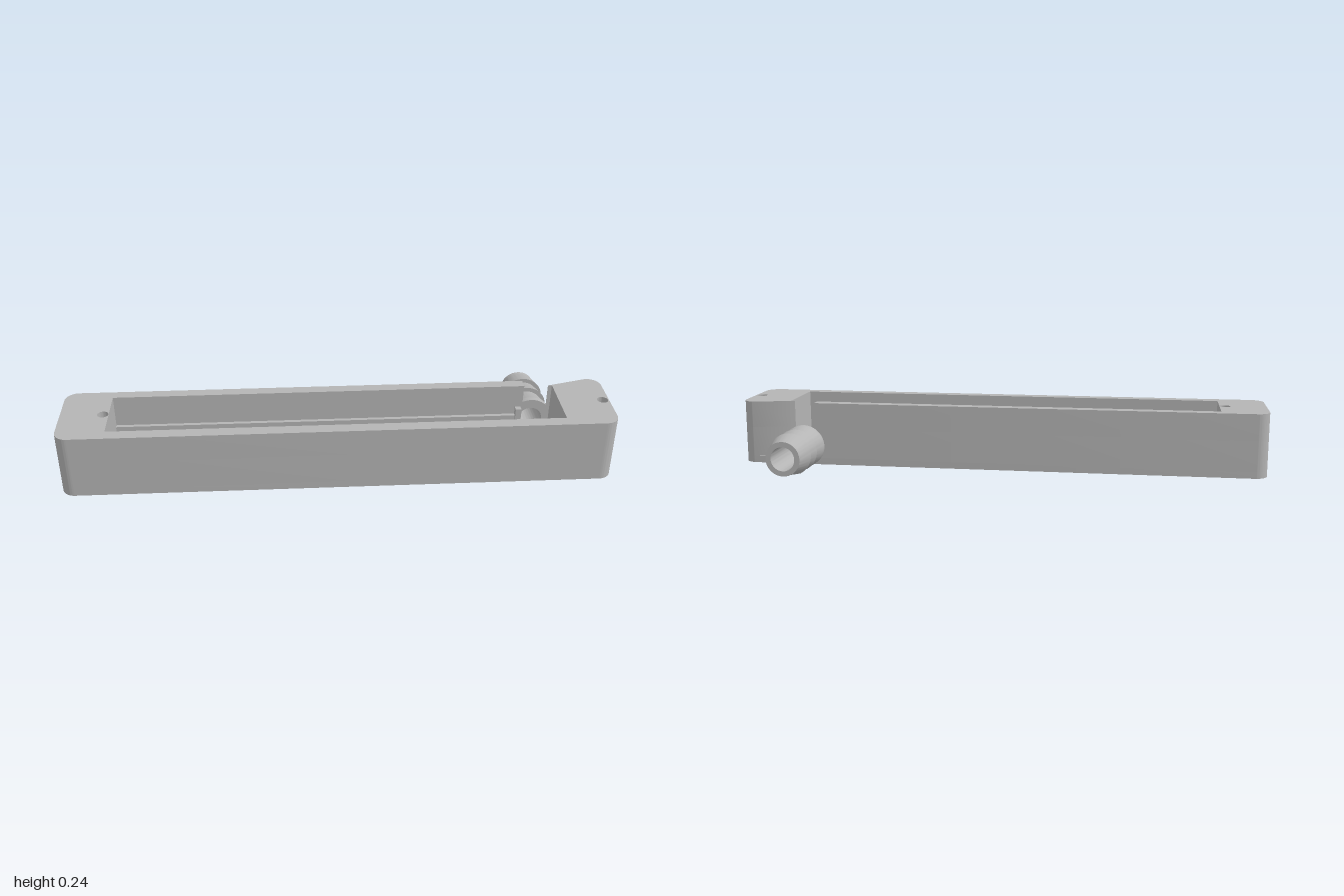
import * as THREE from 'three';
import { toCreasedNormals } from 'three/addons/utils/BufferGeometryUtils.js';

const BACK = -0.035, FRONT = 0.28, HEIGHT = 0.24, CORNER = 0.048; // outer block
const IN_L = -0.825, IN_R = 0.815, IN_B = 0.005, IN_F = 0.235, FLOOR = 0.025; // cavity
const PIPE_X = 0.755, PIPE_Y = 0.0725, BORE = 0.045; // hose fitting

// Extrude a plan drawn in (x, z) between two heights
function slab(shape, y0, y1) {
  const g = new THREE.ExtrudeGeometry(shape, { depth: y1 - y0, bevelEnabled: false, curveSegments: 12 });
  g.rotateX(Math.PI / 2).translate(0, y1, 0);
  return toCreasedNormals(g, 0.5);
}

// Rounded outline of the block, starting and ending on the back edge
function outline(startX, endX) {
  const s = new THREE.Shape(), r = CORNER, q = Math.PI / 2;
  s.moveTo(startX, BACK);
  s.absarc(1 - r, BACK + r, r, -q, 0, false);
  s.absarc(1 - r, FRONT - r, r, 0, q, false);
  s.absarc(-1 + r, FRONT - r, r, q, 2 * q, false);
  s.absarc(-1 + r, BACK + r, r, 2 * q, 3 * q, false);
  s.lineTo(endX, BACK);
  return s;
}

// Walls around the cavity, open at the pipe slot
function wallPlan() {
  const s = outline(PIPE_X + BORE, PIPE_X - BORE);
  s.lineTo(PIPE_X - BORE, IN_B);
  s.lineTo(IN_L, IN_B);
  s.lineTo(IN_L, IN_F);
  s.lineTo(IN_R, IN_F);
  s.lineTo(IN_R, IN_B);
  s.lineTo(PIPE_X + BORE, IN_B);
  s.closePath();
  return s;
}

export function createModel() {
  const group = new THREE.Group();
  const grey = new THREE.MeshStandardMaterial({ color: 0xb4b4b4 });
  grey.name = 'grey plastic';
  const add = (name, geometry) => {
    const mesh = new THREE.Mesh(geometry, grey);
    mesh.name = name;
    group.add(mesh);
    return mesh;
  };

  // Floor and walls, with blind screw holes in the upper walls
  add('floor', slab(outline(0, 0), 0, FLOOR));
  add('lowerWalls', slab(wallPlan(), FLOOR, 0.14));
  const upper = wallPlan();
  for (const x of [-0.846, 0.976]) {
    const hole = new THREE.Path();
    hole.absarc(x, 0.12, 0.02, 0, Math.PI * 2, true);
    upper.holes.push(hole);
  }
  add('upperWalls', slab(upper, 0.14, HEIGHT));

  // Round bottom of the pipe slot
  const cradle = new THREE.Shape();
  cradle.moveTo(-BORE, FLOOR - PIPE_Y);
  cradle.lineTo(BORE, FLOOR - PIPE_Y);
  cradle.lineTo(BORE, 0);
  cradle.absarc(0, 0, BORE, 0, -Math.PI, true);
  cradle.closePath();
  const cradleGeo = new THREE.ExtrudeGeometry(cradle, { depth: IN_B - BACK, bevelEnabled: false, curveSegments: 16 });
  cradleGeo.translate(PIPE_X, PIPE_Y, BACK);
  add('slotCradle', toCreasedNormals(cradleGeo, 0.5));

  // Side ledges inside the cavity, each ending in a stop post
  const ledgeEnd = 0.682, ledgeTop = 0.12, postTop = 0.15;
  for (const [side, wall, dir] of [['back', IN_B, 1], ['front', IN_F, -1]]) {
    const ledge = add(side + 'Ledge', new THREE.BoxGeometry(ledgeEnd - IN_L, ledgeTop - FLOOR, 0.014));
    ledge.position.set((ledgeEnd + IN_L) / 2, (ledgeTop + FLOOR) / 2, wall + dir * 0.007);
    const post = add(side + 'StopPost', new THREE.BoxGeometry(0.022, postTop - FLOOR, 0.022));
    post.position.set(ledgeEnd + 0.011, (postTop + FLOOR) / 2, wall + dir * 0.011);
  }

  // Barbed hose fitting: hollow lathe, flattened where it meets the ground
  const big = 0.0805, small = 0.0645;
  const profile = [
    [BORE, 0], [big, 0], [big, 0.02], [small, 0.092], [big, 0.092], [small, 0.162],
    [big, 0.162], [small, 0.232], [small, 0.245], [BORE, 0.245], [BORE, 0],
  ].map(([r, y]) => new THREE.Vector2(r, y));
  const barb = new THREE.LatheGeometry(profile, 64);
  barb.rotateX(-Math.PI / 2).translate(PIPE_X, PIPE_Y, BACK);
  const p = barb.attributes.position;
  for (let i = 0; i < p.count; i++) p.setY(i, Math.max(0, p.getY(i)));
  add('hoseBarb', toCreasedNormals(barb, 0.2));

  return group;
}
